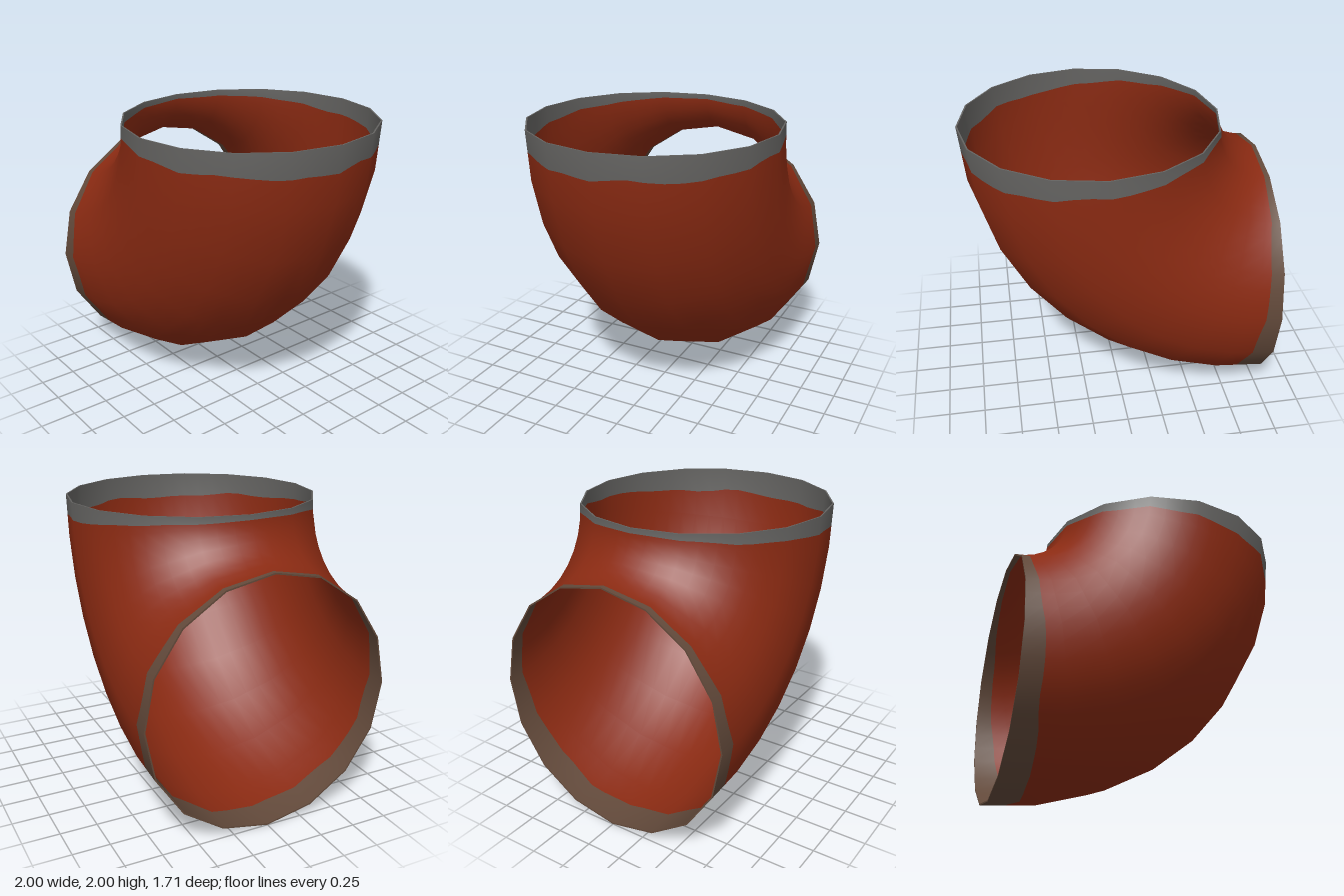
import * as THREE from 'three';
import { mergeGeometries } from 'three/addons/utils/BufferGeometryUtils.js';

const BEND = 1.145;          // radius of the bend's centre line
const OUTER = 0.855;         // pipe radius outside
const INNER = 0.845;         // pipe radius inside
const SEGMENTS = 8;          // straight pieces along the bend
const SIDES = 16;            // sides of the pipe
const SUB = 3;               // extra steps per side for the uneven band edges

// Corner of the faceted elbow: i along the bend, j around the pipe
function corner(i, j, r) {
  const a = (i / SEGMENTS) * Math.PI / 2;
  const p = (j / SIDES) * Math.PI * 2;
  const d = BEND + r * Math.cos(p);
  return new THREE.Vector3(-1 + d * Math.sin(a), 2 - d * Math.cos(a), r * Math.sin(p));
}

// Point on the flat facets between the corners
function surfacePoint(s, u, r) {
  const i = Math.min(Math.floor(s), SEGMENTS - 1);
  const j = Math.floor(u);
  const near = corner(i, j, r).lerp(corner(i, j + 1, r), u - j);
  const far = corner(i + 1, j, r).lerp(corner(i + 1, j + 1, r), u - j);
  return near.lerp(far, s - i);
}

function surfaceNormal(s, u) {
  const a = (s / SEGMENTS) * Math.PI / 2;
  const p = (u / SIDES) * Math.PI * 2;
  return new THREE.Vector3(Math.cos(p) * Math.sin(a), -Math.cos(p) * Math.cos(a), Math.sin(p));
}

// Skin over a list of rings; each ring is { at(u), r }
function skin(rings, normalAt) {
  const pos = [], nor = [], idx = [];
  const cols = SIDES * SUB;
  rings.forEach(({ at, r }) => {
    for (let k = 0; k <= cols; k++) {
      const u = k / SUB;
      const s = at(u);
      pos.push(...surfacePoint(s, u, r).toArray());
      nor.push(...normalAt(s, u).toArray());
    }
  });
  for (let i = 0; i < rings.length - 1; i++) {
    for (let k = 0; k < cols; k++) {
      const a = i * (cols + 1) + k;
      const b = a + cols + 1;
      idx.push(a, b, b + 1, a, b + 1, a + 1);
    }
  }
  const g = new THREE.BufferGeometry();
  g.setAttribute('position', new THREE.Float32BufferAttribute(pos, 3));
  g.setAttribute('normal', new THREE.Float32BufferAttribute(nor, 3));
  g.setIndex(idx);
  return g;
}

// Outside and inside walls over the same stretch of pipe
function walls(stations) {
  const outside = skin(stations.map(at => ({ at, r: OUTER })), surfaceNormal);
  const inside = skin([...stations].reverse().map(at => ({ at, r: INNER })),
    (s, u) => surfaceNormal(s, u).negate());
  return [outside, inside];
}

// Narrow ring closing the wall at an opening
function rim(s, radii, normal) {
  return skin(radii.map(r => ({ at: () => s, r })), () => normal);
}

export function createModel() {
  const rust = new THREE.MeshStandardMaterial({ color: 0x8a2a12 });
  rust.name = 'rust red';
  const grey = new THREE.MeshStandardMaterial({ color: 0x646361 });
  grey.name = 'bare grey';
  const brown = new THREE.MeshStandardMaterial({ color: 0x62493a });
  brown.name = 'brownish grey';

  const group = new THREE.Group();
  group.name = 'pipeElbow';
  const add = (name, parts, material) => {
    const mesh = new THREE.Mesh(mergeGeometries(parts), material);
    mesh.name = name;
    group.add(mesh);
  };

  // Uneven edges of the worn bands, periodic around the pipe
  const turn = u => (u / SIDES) * Math.PI * 2;
  const start = () => 0;
  const end = () => SEGMENTS;
  const sideEdge = u => 0.52 - 0.02 * Math.cos(turn(u)) + 0.03 * Math.sin(5 * turn(u)) + 0.02 * Math.cos(9 * turn(u));
  const topEdge = u => SEGMENTS - (0.52 - 0.08 * Math.cos(turn(u))
    + 0.025 * Math.sin(6 * turn(u)) + 0.02 * Math.cos(11 * turn(u)));

  // Painted bend
  const middle = Array.from({ length: SEGMENTS - 1 }, (_, i) => () => i + 1);
  add('bend', walls([sideEdge, ...middle, topEdge]), rust);

  // Worn bands with the rims of the two openings
  add('sideOpeningBand', [
    ...walls([start, sideEdge]),
    rim(0, [INNER, OUTER], new THREE.Vector3(-1, 0, 0)),
  ], brown);
  add('topOpeningBand', [
    ...walls([topEdge, end]),
    rim(SEGMENTS, [OUTER, INNER], new THREE.Vector3(0, 1, 0)),
  ], grey);

  return group;
}
